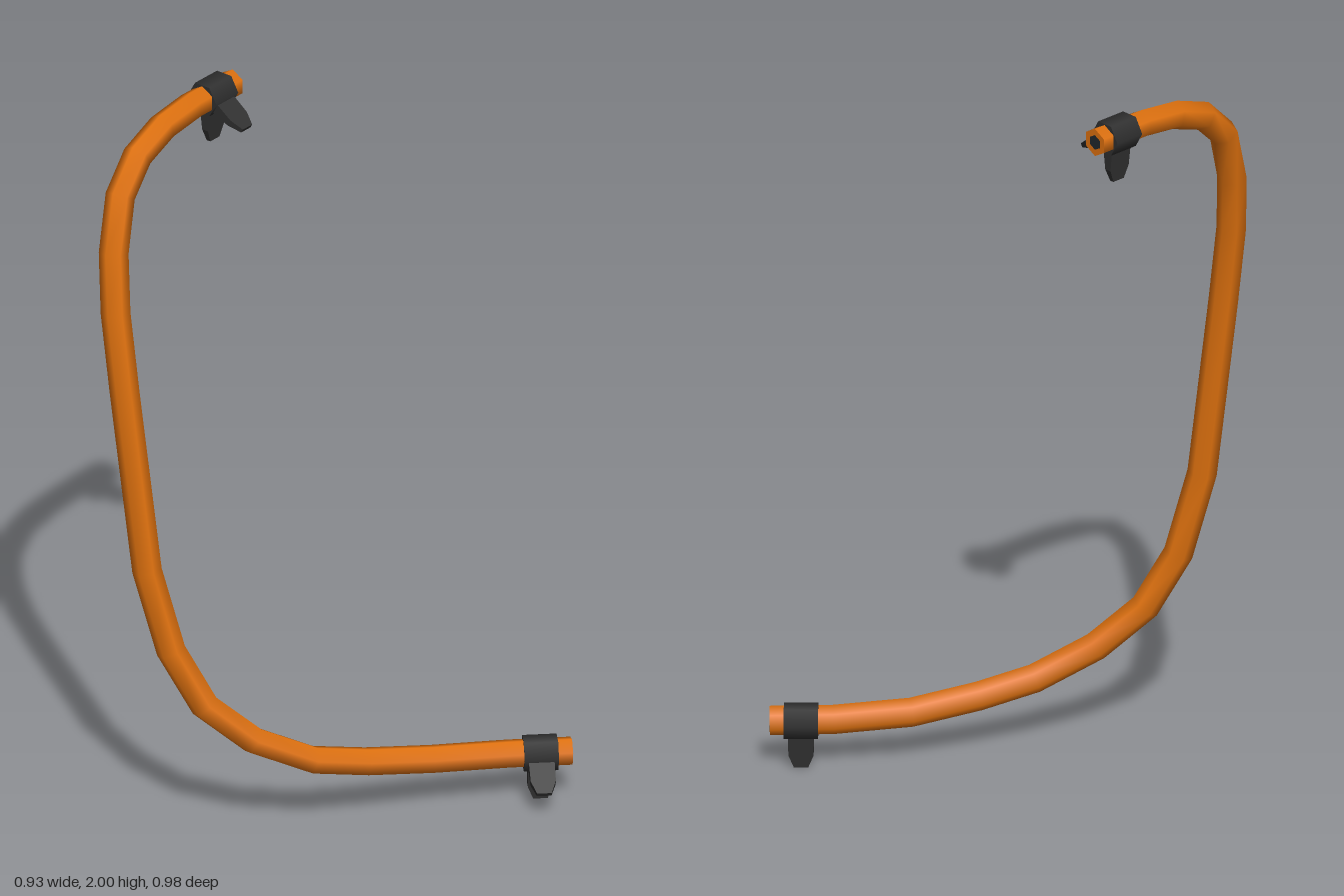
import * as THREE from 'three';

const R = 0.039;   // hose radius
const BORE = 0.021; // hose opening radius

// Centreline of the hose, from the upper end to the lower end
const PATH = [
  [-0.42, 1.959, -0.1], [-0.42, 1.959, 0.07], [-0.418, 1.945, 0.19], [-0.412, 1.905, 0.3],
  [-0.4, 1.825, 0.385], [-0.385, 1.68, 0.43], [-0.362, 1.52, 0.45], [-0.33, 1.3, 0.452],
  [-0.268, 0.79, 0.435], [-0.22, 0.555, 0.395], [-0.15, 0.395, 0.342], [-0.065, 0.283, 0.245],
  [0.027, 0.203, 0.112], [0.1, 0.17, -0.02], [0.19, 0.144, -0.178], [0.313, 0.135, -0.342], [0.427, 0.133, -0.463],
].map(p => new THREE.Vector3(...p));

// Straight spans through the points, with mitred tangents at each bend
class HosePath extends THREE.Curve {
  getPoint(t, target = new THREE.Vector3()) {
    const n = PATH.length - 1, i = Math.min(Math.floor(t * n + 1e-6), n - 1);
    return target.lerpVectors(PATH[i], PATH[i + 1], t * n - i);
  }
  getPointAt(u, target) { return this.getPoint(u, target); }
  getTangentAt(u, target = new THREE.Vector3()) {
    const n = PATH.length - 1, i = Math.round(u * n), p = PATH[i];
    target.set(0, 0, 0);
    if (i > 0) target.add(p.clone().sub(PATH[i - 1]).normalize());
    if (i < n) target.add(PATH[i + 1].clone().sub(p).normalize());
    return target.normalize();
  }
}

function add(parent, name, geometry, material) {
  const mesh = new THREE.Mesh(geometry, material);
  mesh.name = name;
  parent.add(mesh);
  return mesh;
}

// Flat finger grip pointing down, thinning towards its tip
function tabGeometry() {
  const outline = [[-0.034, -0.03], [-0.033, -0.095], [-0.019, -0.131], [0.019, -0.131], [0.033, -0.095], [0.034, -0.03]];
  const shape = new THREE.Shape(outline.map(p => new THREE.Vector2(...p)));
  const g = new THREE.ExtrudeGeometry(shape, { depth: 1, bevelEnabled: false });
  g.translate(0, 0, -0.5);
  const pos = g.attributes.position;
  for (let i = 0; i < pos.count; i++) {
    const k = (-pos.getY(i) - 0.03) / 0.101;
    pos.setZ(i, pos.getZ(i) * THREE.MathUtils.lerp(0.034, 0.012, k));
  }
  g.computeVertexNormals();
  return g.rotateY(Math.PI / 2);
}

// Spring clamp around the hose: collar and two grips 60 degrees apart
function makeClamp(name, position, turn, material) {
  const clamp = new THREE.Group();
  clamp.name = name;
  clamp.position.set(...position);
  clamp.rotation.y = turn;
  const collar = new THREE.CylinderGeometry(0.048, 0.048, 0.09, 6).rotateY(Math.PI / 2).rotateX(Math.PI / 2);
  add(clamp, 'collar', collar, material);
  const tab = tabGeometry();
  add(clamp, 'lowerGrip', tab, material);
  add(clamp, 'sideGrip', tab, material).rotation.z = Math.PI / 3;
  return clamp;
}

export function createModel() {
  const orange = new THREE.MeshStandardMaterial({ name: 'orange hose', color: 0xe0720f });
  const black = new THREE.MeshStandardMaterial({ name: 'black clamp', color: 0x303030 });
  const dark = new THREE.MeshStandardMaterial({ name: 'dark bore', color: 0x22282c });

  const model = new THREE.Group();
  model.name = 'hose';

  // Hose
  const last = PATH.length - 1;
  const tube = new THREE.TubeGeometry(new HosePath(), last, R, 6, false);
  add(model, 'hoseTube', tube, orange);

  // Hose ends: wall ring and opening
  for (const [name, i, s] of [['upperEnd', 0, -1], ['lowerEnd', last, 1]]) {
    const end = new THREE.Group();
    end.name = name;
    const basis = new THREE.Matrix4().makeBasis(
      tube.normals[i].clone(),
      tube.binormals[i].clone().multiplyScalar(s),
      tube.tangents[i].clone().multiplyScalar(s));
    end.quaternion.setFromRotationMatrix(basis);
    end.position.copy(PATH[i]);
    add(end, 'wallRing', new THREE.RingGeometry(BORE, R, 6, 1), orange);
    add(end, 'opening', new THREE.CircleGeometry(BORE, 6), dark);
    model.add(end);
  }

  // Clamps
  model.add(makeClamp('upperClamp', [-0.42, 1.959, -0.02], 0, black));
  model.add(makeClamp('lowerClamp', [0.37, 0.132, -0.404], -Math.PI / 4, black));
  return model;
}
